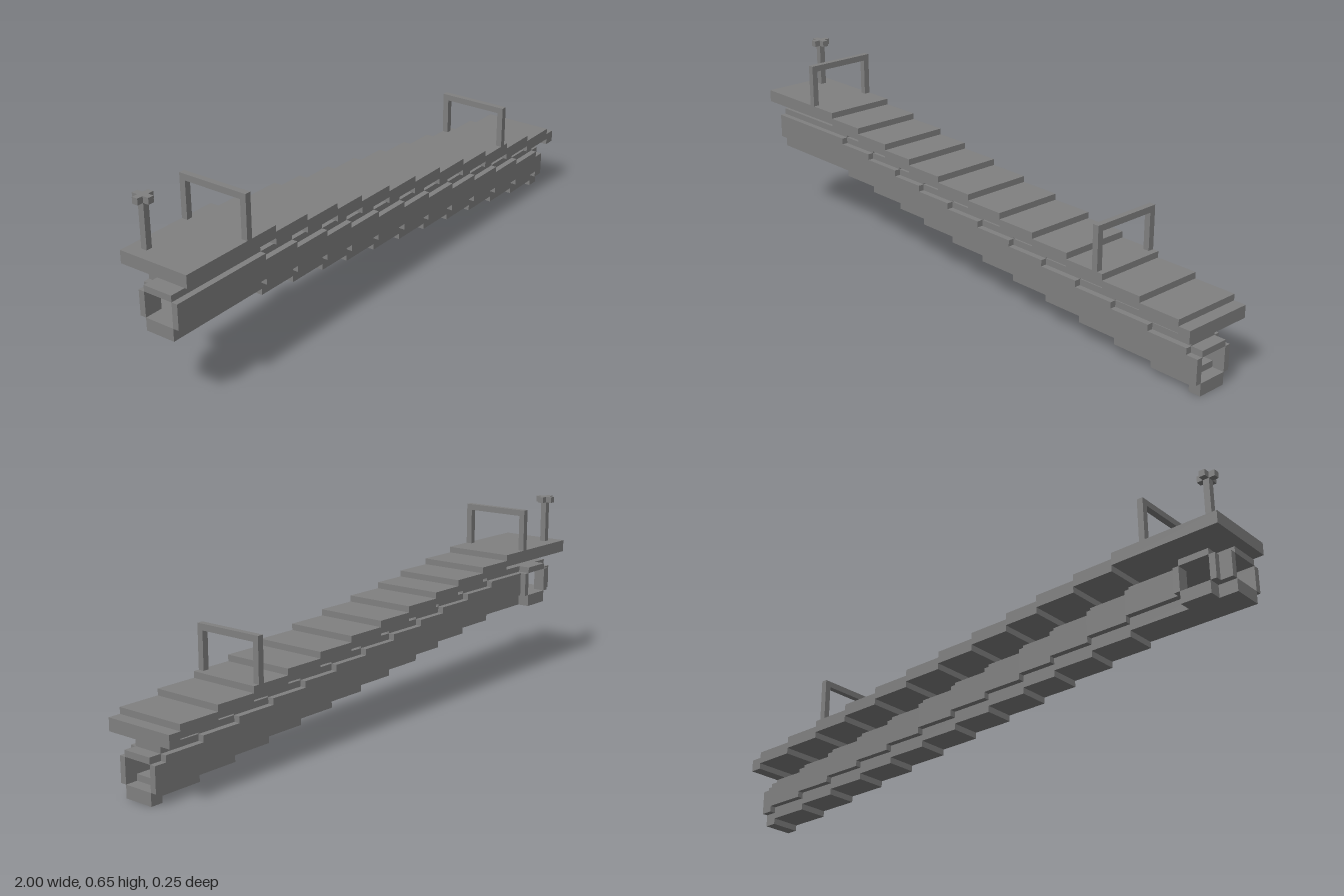
import * as THREE from 'three';

// The whole ramp sits on a grid of 96 cells along its length.
const CELL = 2 / 96;

export function createModel() {
  const model = new THREE.Group();
  model.name = 'steppedCoveredDuct';
  const grey = new THREE.MeshStandardMaterial({ color: 0x808080 });
  grey.name = 'grey';

  // Box between two grid corners; x counts from the high end, z from the centre.
  function block(parent, name, x0, x1, y0, y1, z0, z1) {
    const geometry = new THREE.BoxGeometry((x1 - x0) * CELL, (y1 - y0) * CELL, (z1 - z0) * CELL);
    const mesh = new THREE.Mesh(geometry, grey);
    mesh.name = name;
    mesh.position.set(((x0 + x1) / 2 - 48) * CELL, ((y0 + y1) / 2) * CELL, ((z0 + z1) / 2) * CELL);
    parent.add(mesh);
  }

  function part(name) {
    const group = new THREE.Group();
    group.name = name;
    model.add(group);
    return group;
  }

  const deck = part('deck');
  const duct = part('duct');

  // Each section drops one cell below the one before it.
  const lengths = [18, 7, 7, 6, 7, 7, 7, 7, 7, 7, 7, 7, 2];
  let x = 0;
  lengths.forEach((length, i) => {
    const end = x + length;
    const y = 12 - i;
    block(deck, 'deckPlank', x, end, y + 9, y + 11, -6, 6);
    block(duct, 'ductFloor', x, end, y, y + 2, -2, 3);
    block(duct, 'ductRoof', x, end, y + 6, y + 7, -2, 3);
    block(duct, 'ductFrontWall', x, end, y + 2, y + 6, 3, 4);
    // The highest section has a side opening in its back wall.
    const backWalls = i === 0 ? [[0, 3], [8, end]] : [[x, end]];
    for (const [a, b] of backWalls) block(duct, 'ductBackWall', a, b, y + 2, y + 6, -3, -2);
    x = end;
  });

  // Short side outlet at the high end
  const outlet = part('sideOutlet');
  block(outlet, 'outletFloor', 3, 8, 12, 14, -4, -2);
  block(outlet, 'outletRoof', 3, 8, 18, 19, -4, -2);
  for (const a of [2, 8]) block(outlet, 'outletWall', a, a + 1, 14, 18, -4, -3);

  // Hoops across the deck
  for (const [hx, base] of [[12, 23], [78, 14]]) {
    const hoop = part('hoop');
    for (const z of [-6, 5]) block(hoop, 'hoopLeg', hx, hx + 1, base, base + 6, z, z + 1);
    block(hoop, 'hoopBar', hx, hx + 1, base + 6, base + 7, -6, 6);
  }

  // Post with a cross-shaped handle
  const valve = part('handlePost');
  block(valve, 'post', 2, 3, 23, 30, -4, -3);
  block(valve, 'handleBar', 1, 4, 30, 31, -4, -3);
  block(valve, 'handleArm', 2, 3, 30, 31, -5, -4);
  block(valve, 'handleArm', 2, 3, 30, 31, -3, -2);

  return model;
}
